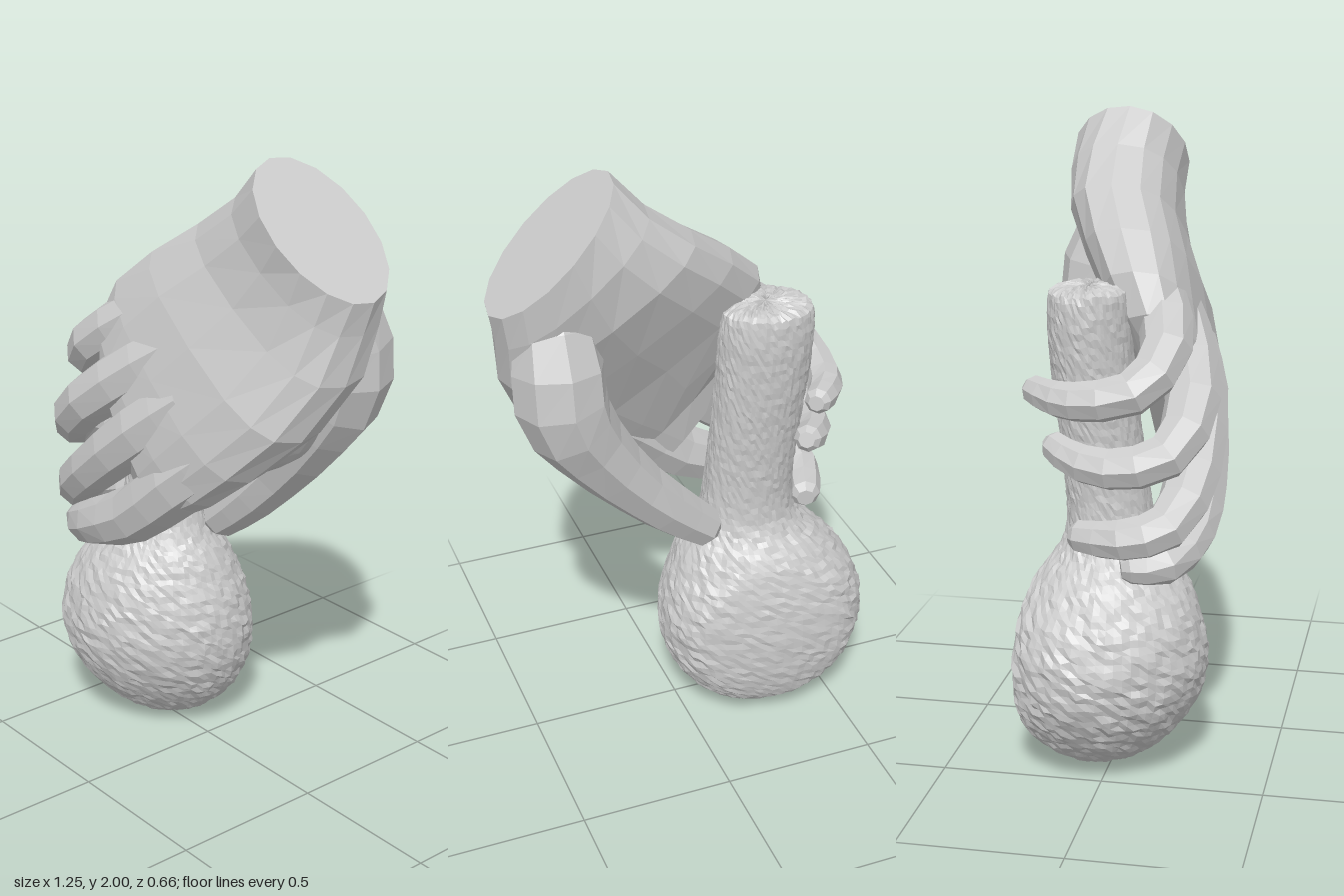
import * as THREE from 'three';
import { mergeVertices } from 'three/addons/utils/BufferGeometryUtils.js';

const V = (p) => new THREE.Vector3(p[0], p[1], p[2]);
const skin = new THREE.MeshStandardMaterial({ color: 0xcccccc, flatShading: true, side: THREE.DoubleSide });
const stone = new THREE.MeshStandardMaterial({ color: 0xcccccc, flatShading: true });
const power = (v, k) => Math.sign(v) * Math.abs(v) ** k;

// Closed skin over sections { c, a, b, k }, where a x b points along the loft
// and k runs from 1 (ellipse) towards 0 (box).
function loft(name, sections, sides) {
  const pos = [], index = [], n = sections.length;
  for (const { c, a, b, k } of sections) {
    for (let i = 0; i < sides; i++) {
      const t = (i / sides) * Math.PI * 2;
      const p = c.clone().addScaledVector(a, power(Math.cos(t), k)).addScaledVector(b, power(Math.sin(t), k));
      pos.push(p.x, p.y, p.z);
    }
  }
  for (let r = 0; r < n - 1; r++) {
    for (let i = 0; i < sides; i++) {
      const j = (i + 1) % sides, p = r * sides, q = p + sides;
      index.push(p + i, p + j, q + j, p + i, q + j, q + i);
    }
  }
  // end caps
  const first = sections[0].c, last = sections[n - 1].c;
  pos.push(first.x, first.y, first.z, last.x, last.y, last.z);
  for (let i = 0; i < sides; i++) {
    const j = (i + 1) % sides, q = (n - 1) * sides;
    index.push(n * sides, j, i, n * sides + 1, q + i, q + j);
  }
  const indexed = new THREE.BufferGeometry();
  indexed.setAttribute('position', new THREE.Float32BufferAttribute(pos, 3));
  indexed.setIndex(index);
  const geo = indexed.toNonIndexed();
  geo.computeVertexNormals();
  const mesh = new THREE.Mesh(geo, skin);
  mesh.name = name;
  return mesh;
}

// Limb along points [x, y, z, radius], with a rounded tip; flat thins it across ref.
function limb(name, pts, ref, flat = 1) {
  const rings = 10;
  const curve = new THREE.CatmullRomCurve3(pts.map(V), false, 'centripetal');
  const sections = [];
  const add = (c, tan, r) => {
    const a = ref.clone().addScaledVector(tan, -ref.dot(tan)).normalize();
    const b = tan.clone().cross(a);
    sections.push({ c, a: a.multiplyScalar(r), b: b.multiplyScalar(r * flat), k: 1 });
  };
  for (let i = 0; i <= rings; i++) {
    const t = i / rings, f = t * (pts.length - 1), k = Math.min(Math.floor(f), pts.length - 2);
    add(curve.getPoint(t), curve.getTangent(t), THREE.MathUtils.lerp(pts[k][3], pts[k + 1][3], f - k));
  }
  const tip = curve.getPoint(1), dir = curve.getTangent(1), r = pts[pts.length - 1][3];
  add(tip.clone().addScaledVector(dir, r * 0.5 * flat), dir, r * 0.6);
  return loft(name, sections, 8);
}

// Palm sections: little-finger edge, thumb edge, half thickness, squareness.
function palm() {
  const rows = [
    [[0.22, 2.0, -0.05], [0.61, 1.64, -0.11], 0.19, 1],
    [[0.12, 1.89, -0.07], [0.59, 1.54, -0.09], 0.185, 0.85],
    [[-0.03, 1.78, -0.06], [0.575, 1.39, -0.04], 0.18, 0.75],
    [[-0.18, 1.67, 0.0], [0.5, 1.22, 0.06], 0.17, 0.7],
    [[-0.3, 1.56, 0.06], [0.36, 1.07, 0.14], 0.145, 0.7],
    [[-0.34, 1.44, 0.11], [0.23, 0.96, 0.18], 0.125, 0.75],
    [[-0.3, 1.33, 0.15], [0.11, 0.89, 0.2], 0.1, 0.8],
    [[-0.31, 1.25, 0.15], [0.01, 0.83, 0.18], 0.065, 0.8],
  ];
  const sections = rows.map(([p, t, thick, k]) => {
    const P = V(p), T = V(t), a = T.clone().sub(P).multiplyScalar(0.5), w = a.clone().normalize();
    const b = new THREE.Vector3(0, 0, 1).addScaledVector(w, -w.z).normalize().multiplyScalar(thick);
    return { c: P.add(T).multiplyScalar(0.5), a, b, k };
  });
  return loft('palm', sections, 16);
}

// Rough, slightly leaning flask with a flattened back.
function flask() {
  const profile = [
    [0, 0.01], [0.12, 0.02], [0.24, 0.1], [0.32, 0.22], [0.345, 0.36], [0.315, 0.5], [0.245, 0.62],
    [0.18, 0.7], [0.152, 0.79], [0.145, 1.0], [0.15, 1.25], [0.15, 1.45], [0.125, 1.505], [0, 1.51],
  ].map(([x, y]) => new THREE.Vector2(x, y));
  const points = new THREE.SplineCurve(profile).getSpacedPoints(90);
  points.forEach((p) => { p.x = Math.max(p.x, 0); });
  points[0].x = points[90].x = 0;
  let geo = new THREE.LatheGeometry(points, 80);
  geo.deleteAttribute('uv');
  geo.deleteAttribute('normal');
  geo = mergeVertices(geo, 1e-4);

  let seed = 7;
  const random = () => (seed = (seed * 16807) % 2147483647) / 2147483647;
  const { lerp, smoothstep } = THREE.MathUtils;
  const pos = geo.attributes.position;
  for (let i = 0; i < pos.count; i++) {
    const y = pos.getY(i), s = 1 + (random() - 0.5) * 0.035;
    const up = smoothstep(y, 0.5, 1.5);
    const cx = -0.27 + 0.03 * smoothstep(y, 0.5, 0.75) * (1 - smoothstep(y, 0.75, 1.5));
    const cz = lerp(-0.04 * (1 - smoothstep(y, 0, 0.35)), -0.075, up);
    let x = pos.getX(i) * s, z = pos.getZ(i) * s * lerp(0.9, 0.83, up);
    // the bulb leans towards its back right corner
    const skew = 0.15 * (x + z) ** 2;
    x -= skew;
    z += cz - skew;
    const back = -0.24 + 0.12 * x;
    if (z < back) z = back + (z - back) * 0.5;
    pos.setXYZ(i, cx + x, y + (random() - 0.5) * 0.01, z);
  }
  geo = geo.toNonIndexed();
  geo.computeVertexNormals();
  const mesh = new THREE.Mesh(geo, stone);
  mesh.name = 'flask';
  return mesh;
}

export function createModel() {
  const model = new THREE.Group();
  model.name = 'handHoldingFlask';
  const hand = new THREE.Group();
  hand.name = 'hand';
  hand.add(palm());

  // fingers grow out of the palm and wrap around the neck from the front
  const across = new THREE.Vector3(-0.7, 0.71, 0);
  const fingers = {
    littleFinger: [[-0.1, 1.52, 0.07, 0.08], [-0.24, 1.43, 0.145, 0.085], [-0.39, 1.32, 0.17, 0.077],
      [-0.475, 1.23, 0.09, 0.068], [-0.48, 1.2, -0.06, 0.061], [-0.45, 1.2, -0.15, 0.054], [-0.39, 1.21, -0.225, 0.043]],
    ringFinger: [[0.0, 1.4, 0.13, 0.09], [-0.15, 1.29, 0.2, 0.095], [-0.33, 1.15, 0.245, 0.083],
      [-0.455, 1.04, 0.19, 0.071], [-0.48, 1.0, 0.05, 0.064], [-0.45, 1.01, -0.08, 0.058], [-0.39, 1.04, -0.165, 0.045]],
    middleFinger: [[0.11, 1.27, 0.15, 0.1], [-0.05, 1.14, 0.215, 0.1], [-0.28, 0.95, 0.245, 0.085],
      [-0.445, 0.82, 0.19, 0.073], [-0.475, 0.78, 0.06, 0.064], [-0.43, 0.77, -0.08, 0.05]],
    indexFinger: [[0.25, 1.14, 0.13, 0.11], [0.09, 1.0, 0.19, 0.108], [-0.09, 0.845, 0.225, 0.095],
      [-0.28, 0.755, 0.235, 0.08], [-0.43, 0.7, 0.18, 0.066], [-0.46, 0.69, 0.08, 0.05]],
  };
  for (const [name, pts] of Object.entries(fingers)) hand.add(limb(name, pts, across));

  // thumb runs down behind the neck, joined to the palm by a web
  const depth = new THREE.Vector3(0, 0, 1);
  hand.add(limb('thumb', [
    [0.43, 1.65, -0.1, 0.1], [0.43, 1.5, -0.17, 0.14], [0.42, 1.33, -0.185, 0.145], [0.34, 1.18, -0.17, 0.12],
    [0.2, 1.0, -0.15, 0.094], [0.06, 0.855, -0.125, 0.084], [-0.065, 0.745, -0.105, 0.068],
  ], depth));
  hand.add(limb('thumbWeb', [
    [0.45, 1.42, -0.06, 0.1], [0.42, 1.28, -0.05, 0.14], [0.34, 1.14, -0.02, 0.14], [0.26, 1.08, 0.01, 0.12],
  ], depth, 0.35));

  model.add(hand, flask());
  return model;
}
